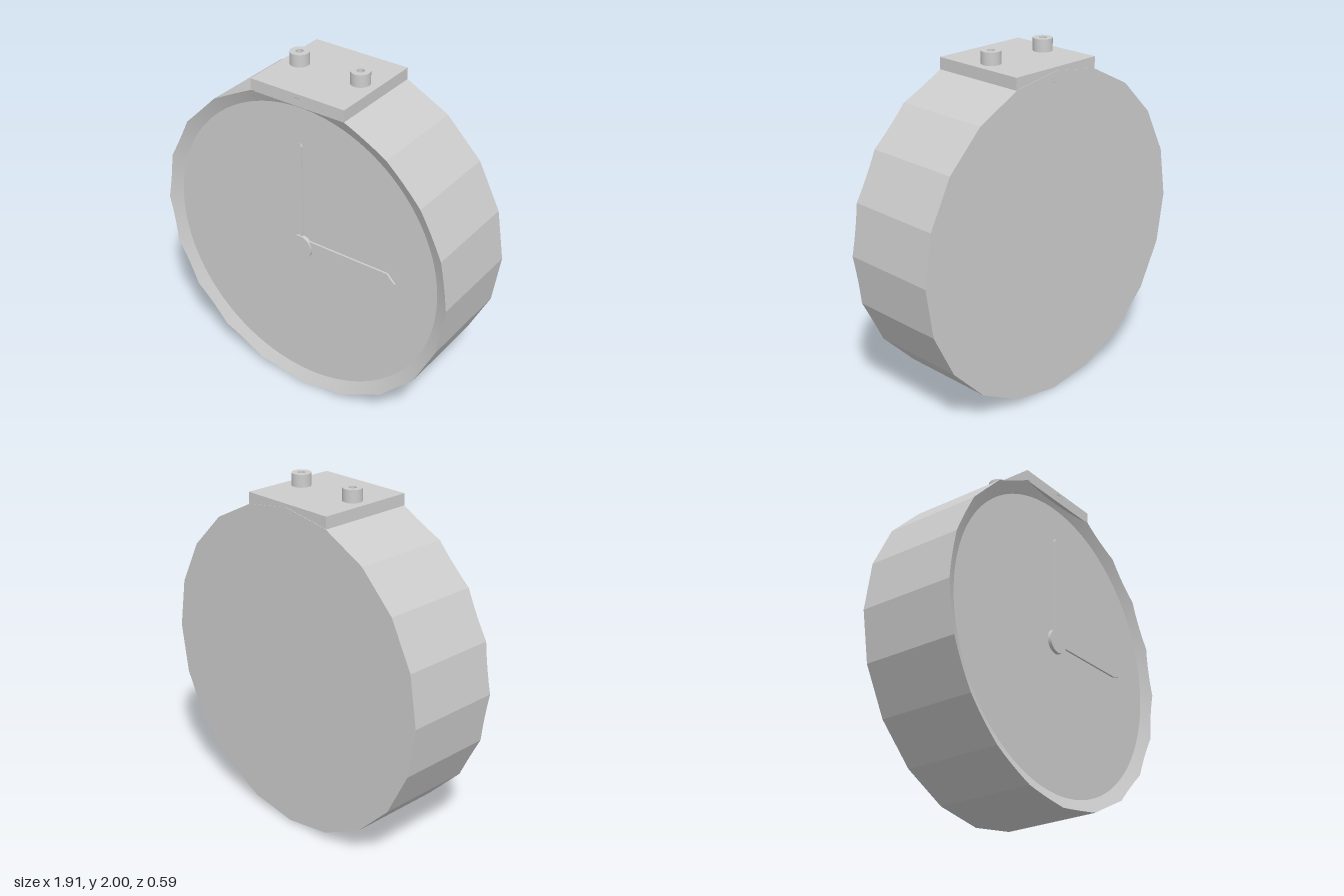
import * as THREE from 'three';
import { toCreasedNormals } from 'three/addons/utils/BufferGeometryUtils.js';

const CY = 0.956, R = 0.953, SIDES = 20, PER = 8;
const FACE_R = 0.875, FACE_Z = 0.255, BACK_Z = -0.295;

// radius of the twenty-sided case at a given angle
function caseRadius(a) {
  const step = (Math.PI * 2) / SIDES;
  const local = ((a % step) + step) % step - step / 2;
  return (R * Math.cos(step / 2)) / Math.cos(local);
}

// closed loft: back cap, faceted wall, conical bezel, recessed dial
function caseGeometry() {
  const n = SIDES * PER;
  const bezelZ = (r) => FACE_Z + (r - FACE_R) * 0.5;
  const rings = [
    () => [0, BACK_Z],
    (a) => [caseRadius(a), BACK_Z],
    (a) => [caseRadius(a), bezelZ(caseRadius(a))],
    () => [FACE_R, FACE_Z],
    () => [0, FACE_Z],
  ];
  const pos = [], idx = [];
  for (const ring of rings) {
    for (let i = 0; i < n; i++) {
      const a = (i / n) * Math.PI * 2;
      const [r, z] = ring(a);
      pos.push(r * Math.cos(a), r * Math.sin(a), z);
    }
  }
  for (let k = 0; k < rings.length - 1; k++) {
    for (let i = 0; i < n; i++) {
      const j = (i + 1) % n;
      const a = k * n + i, b = k * n + j, c = b + n, d = a + n;
      if (k > 0) idx.push(a, b, c);
      else idx.push(a, c, d);
      if (k > 0 && k < rings.length - 2) idx.push(a, c, d);
    }
  }
  const g = new THREE.BufferGeometry();
  g.setAttribute('position', new THREE.Float32BufferAttribute(pos, 3));
  g.setIndex(idx);
  return toCreasedNormals(g, 0.25);
}

export function createModel() {
  const model = new THREE.Group();
  const gray = new THREE.MeshStandardMaterial({ color: 0xcccccc });
  gray.name = 'light gray';

  const add = (name, geometry, x, y, z) => {
    const mesh = new THREE.Mesh(geometry, gray);
    mesh.name = name;
    mesh.position.set(x, y, z);
    model.add(mesh);
    return mesh;
  };

  // clock case with recessed dial
  add('clockCase', caseGeometry(), 0, CY, 0);

  // mounting plate on top
  add('topPlate', new THREE.BoxGeometry(0.6, 0.07, 0.584), 0, 1.893, 0);

  // hollow posts
  const profile = [[0.055, 0], [0.055, 0.075], [0.022, 0.075], [0.022, 0.02], [0, 0.02]]
    .map(([x, y]) => new THREE.Vector2(x, y));
  for (const s of [-1, 1]) {
    const post = toCreasedNormals(new THREE.LatheGeometry(profile, 32), 0.5);
    add(s > 0 ? 'leftPost' : 'rightPost', post, s * 0.197, 1.925, 0);
  }

  // pointed hands, drawn around the hub centre
  const hand = (name, points, depth) => {
    const shape = new THREE.Shape(points.map(([x, y]) => new THREE.Vector2(x, y)));
    add(name, new THREE.ExtrudeGeometry(shape, { depth, bevelEnabled: false }), 0, 0.967, FACE_Z);
  };
  hand('minuteHand', [[-0.008, 0], [0.008, 0], [0.008, 0.635], [0, 0.655], [-0.008, 0.635]], 0.014);
  hand('hourHand', [[0, -0.014], [0.575, -0.014], [0.615, 0], [0.567, 0.05], [0, 0.05]], 0.012);

  // hub
  const hub = add('hub', new THREE.CylinderGeometry(0.071, 0.071, 0.022, 40), 0, 0.967, FACE_Z + 0.011);
  hub.rotation.x = Math.PI / 2;

  // small half-round tab at the top of the back
  const tab = new THREE.CylinderGeometry(0.035, 0.035, 0.004, 20, 1);
  const tabMesh = add('rearTab', tab, 0, 1.873, BACK_Z + 0.001);
  tabMesh.rotation.x = Math.PI / 2;

  return model;
}
